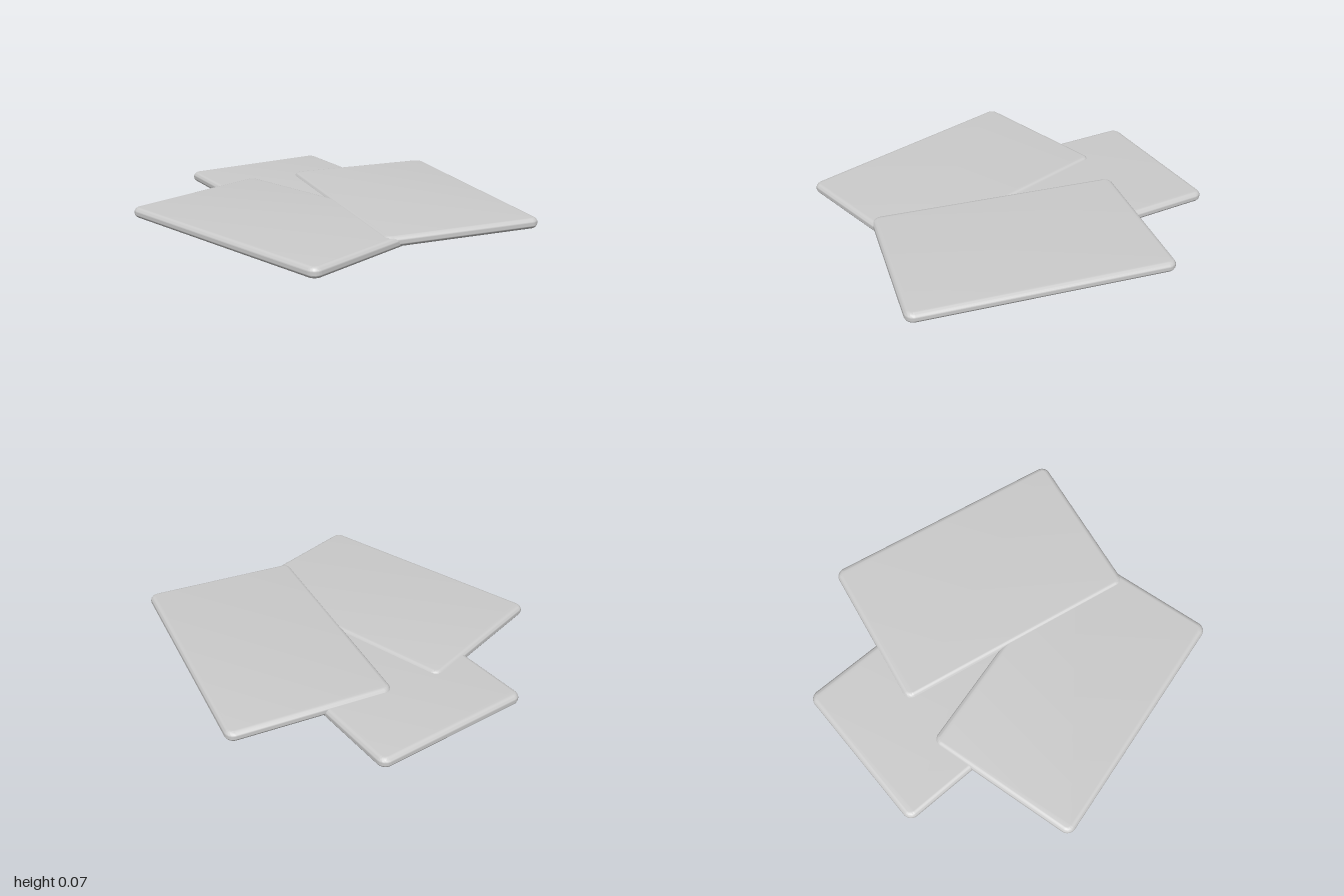
import * as THREE from 'three';
import { mergeVertices, toCreasedNormals } from 'three/addons/utils/BufferGeometryUtils.js';

const LENGTH = 1.265, WIDTH = 0.8, THICKNESS = 0.051;
const EDGE = 0.025;    // radius of the rounded rim
const CORNER = 0.045;  // corner radius seen from above

// Rounded rectangle with a half-round rim, lying flat and centred
function slabGeometry() {
  const r = CORNER - EDGE;
  const x = LENGTH / 2 - EDGE, y = WIDTH / 2 - EDGE;
  const shape = new THREE.Shape();
  shape.absarc(x - r, y - r, r, 0, Math.PI / 2);
  shape.absarc(-x + r, y - r, r, Math.PI / 2, Math.PI);
  shape.absarc(-x + r, -y + r, r, Math.PI, Math.PI * 1.5);
  shape.absarc(x - r, -y + r, r, Math.PI * 1.5, Math.PI * 2);
  shape.closePath();
  const geometry = new THREE.ExtrudeGeometry(shape, {
    depth: THICKNESS - 2 * EDGE,
    bevelSize: EDGE, bevelThickness: EDGE, bevelSegments: 6, curveSegments: 6,
  });
  geometry.rotateX(-Math.PI / 2);
  geometry.center();
  geometry.deleteAttribute('normal');
  geometry.deleteAttribute('uv');
  return toCreasedNormals(mergeVertices(geometry, 1e-5), 0.7);
}

export function createModel() {
  const model = new THREE.Group();
  model.name = 'overlappingSlabs';
  const material = new THREE.MeshStandardMaterial({ color: 0xcccccc });
  const geometry = slabGeometry();

  // Fanned slabs, each resting slightly higher than the last
  const slabs = [
    { name: 'lowerSlab', x: -0.26, z: -0.187, bottom: 0, turn: 35 },
    { name: 'middleSlab', x: -0.156, z: 0.364, bottom: 0.009, turn: 20 },
    { name: 'upperSlab', x: 0.277, z: -0.229, bottom: 0.015, turn: 45.4 },
  ];
  for (const { name, x, z, bottom, turn } of slabs) {
    const slab = new THREE.Mesh(geometry, material);
    slab.name = name;
    slab.position.set(x, bottom + THICKNESS / 2, z);
    slab.rotation.y = -THREE.MathUtils.degToRad(turn);
    model.add(slab);
  }
  return model;
}
